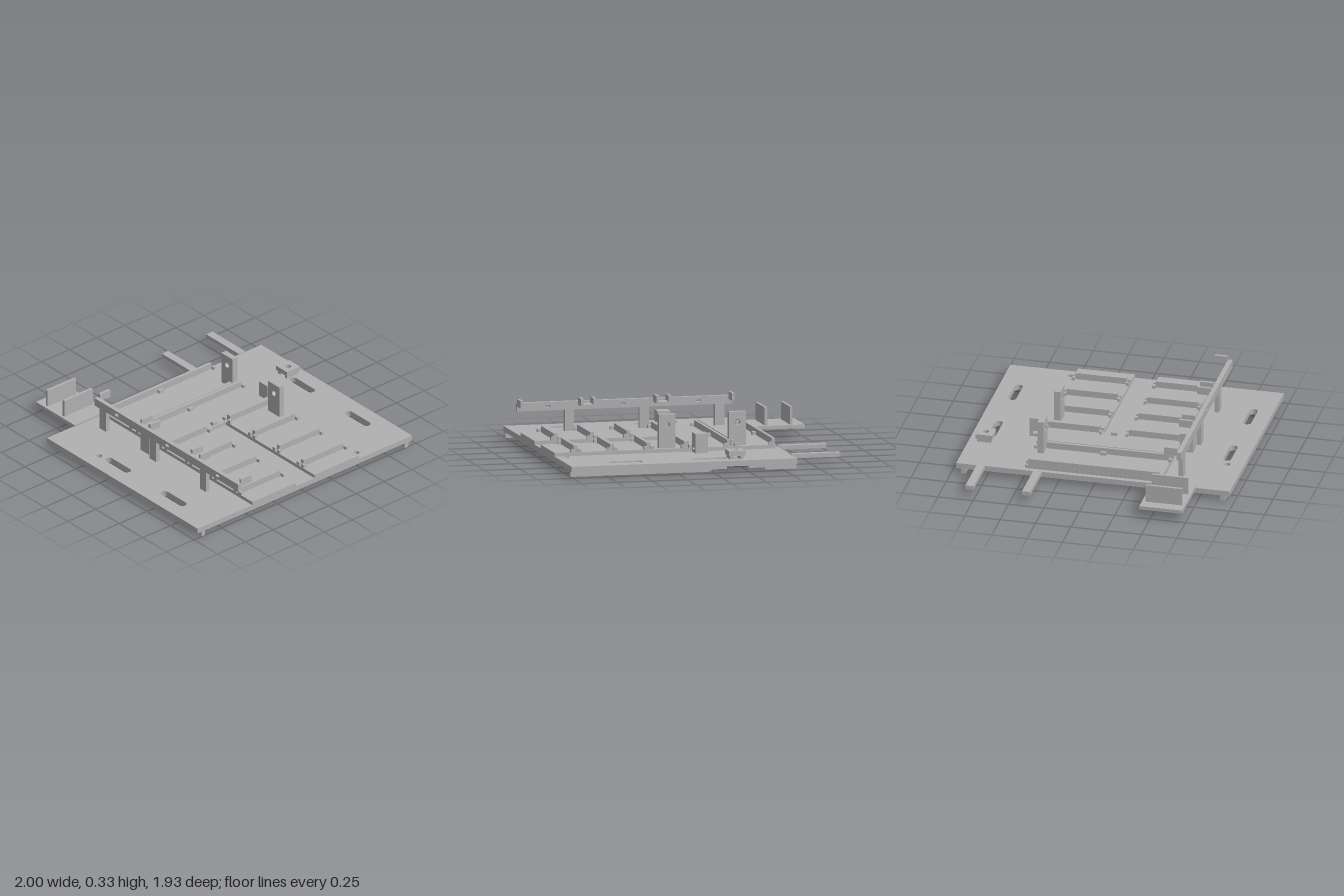
import * as THREE from 'three';

const grey = new THREE.MeshStandardMaterial({ color: 0xb0b0b0 });
grey.name = 'plain grey';

export function createModel() {
  const model = new THREE.Group();
  model.name = 'fixturePlate';

  const add = (name, geometry) => {
    const mesh = new THREE.Mesh(geometry, grey);
    mesh.name = name;
    model.add(mesh);
    return mesh;
  };
  // Box given by its extents
  const box = (name, x0, x1, y0, y1, z0, z1) => {
    const g = new THREE.BoxGeometry(x1 - x0, y1 - y0, z1 - z0);
    g.translate((x0 + x1) / 2, (y0 + y1) / 2, (z0 + z1) / 2);
    return add(name, g);
  };
  const rect = (a0, a1, b0, b1) => new THREE.Shape([[a0, b0], [a1, b0], [a1, b1], [a0, b1]]
    .map(([a, b]) => new THREE.Vector2(a, b)));
  const roundHole = (a, b, r) => new THREE.Path().absarc(a, b, r, 0, Math.PI * 2, true);
  // Rounded slot of total length len and height h
  const slotHole = (a, b, len, h) => {
    const r = h / 2, d = len / 2 - r;
    const p = new THREE.Path();
    p.absarc(a + d, b, r, -Math.PI / 2, Math.PI / 2, false);
    p.absarc(a - d, b, r, Math.PI / 2, Math.PI * 1.5, false);
    p.closePath();
    return p;
  };
  const extrude = (shape, depth) =>
    new THREE.ExtrudeGeometry(shape, { depth, bevelEnabled: false, curveSegments: 12 });
  // Shape drawn in (x, -z), laid flat with its underside at y
  const flat = (name, shape, y, depth) => {
    const g = extrude(shape, depth);
    g.rotateX(-Math.PI / 2);
    g.translate(0, y, 0);
    return add(name, g);
  };
  // Shape drawn in (x, y), facing the front
  const upright = (name, shape, z, depth) => {
    const g = extrude(shape, depth);
    g.translate(0, 0, z);
    return add(name, g);
  };

  // Base plate with slots and locating holes
  const base = rect(-0.6, 1, -0.967, 0.967);
  for (const z of [-0.83, 0.83]) {
    for (const x of [-0.008, 0.583]) base.holes.push(slotHole(x, -z, 0.245, 0.056));
    base.holes.push(roundHole(-0.185, z > 0 ? -0.85 : 0.855, 0.022));
  }
  base.holes.push(roundHole(0.925, 0.525, 0.022));
  flat('basePlate', base, 0.037, 0.038);

  // Stepped runners below the plate
  const runner = new THREE.Shape([
    [-0.6, 0], [-0.38, 0], [-0.38, 0.015], [-0.26, 0.015], [-0.26, 0.037], [-0.11, 0.037],
    [-0.11, 0.015], [0, 0.015], [0, 0], [1, 0], [1, 0.04], [-0.6, 0.04],
  ].map(([x, y]) => new THREE.Vector2(x, y)));
  for (const z of [-0.932, 0.9]) upright('runner', runner, z, 0.032);

  // Raised panel with an open channel on one side
  const panel = new THREE.Shape([
    [-0.565, -0.475], [1, -0.475], [1, -0.08], [0.06, -0.08], [0.06, 0.085],
    [1, 0.085], [1, 0.487], [-0.565, 0.487],
  ].map(([x, y]) => new THREE.Vector2(x, y)));
  flat('raisedPanel', panel, 0.07, 0.03);

  // Divider slats with small clips at their ends
  const clip = (x0, x1, zc) => box('slatClip', x0, x1, 0.095, 0.122, zc - 0.01, zc + 0.01);
  const slat = (x, half, z0, z1, left, right) => {
    box('dividerSlat', x - half, x + half, 0.095, 0.145, z0 + 0.02, z1 - 0.02);
    for (const z of [z0 + 0.01, z1 - 0.01]) {
      if (left) clip(x - half - 0.024, x - half + 0.004, z);
      if (right) clip(x + half - 0.004, x + half + 0.024, z);
    }
  };
  const fullSlats = [[-0.553, 0.011, 0, 1], [-0.265, 0.011, 1, 0],
    [-0.236, 0.011, 0, 1], [0.053, 0.008, 1, 0]];
  for (const [x, half, l, r] of fullSlats) {
    if (x < 0) {
      slat(x, half, -0.487, 0.48, l, r);
    } else {
      slat(0.062, 0.017, -0.487, -0.087, 1, 1);
      slat(0.062, 0.017, 0.08, 0.48, 1, 1);
    }
    const c = x + (r ? 1 : -1) * (half + 0.011);
    box('middleClip', c - 0.013, c + 0.013, 0.095, 0.122, -0.02, 0.02);
  }
  for (const x of [0.33, 0.59, 0.847]) {
    slat(x, 0.014, -0.487, -0.087, 1, 1);
    slat(x, 0.014, 0.08, 0.48, 1, 1);
  }

  // Front rail with slots, carried on three posts
  const rail = rect(-0.52, 1, 0.232, 0.29);
  for (const x of [-0.285, 0.25, 0.783]) rail.holes.push(slotHole(x, 0.261, 0.036, 0.018));
  upright('frontRail', rail, 0.573, 0.032);
  for (const [x0, x1] of [[-0.47, -0.4], [0.065, 0.133], [0.598, 0.663]])
    box('railPost', x0, x1, 0.07, 0.234, 0.573, 0.605);

  // Guide fingers reaching back from the rail
  for (const x of [-0.507, -0.06, 0.027, 0.473, 0.56, 0.99])
    box('guideFinger', x - 0.01, x + 0.01, 0.265, 0.318, 0.482, 0.575);
  for (const x of [-0.017, 0.517])
    box('guideFloor', x - 0.04, x + 0.04, 0.265, 0.275, 0.485, 0.575);

  // Slotted blocks at the front and back of the panel
  for (const s of [-1, 1]) {
    const block = rect(-0.045, 0.045, 0.07, 0.21);
    block.holes.push(slotHole(0, 0.106, 0.038, 0.02));
    const g = extrude(block, 0.09);
    g.rotateY(-Math.PI / 2);
    g.translate(0.027, 0, s * 0.533);
    add('slottedBlock', g);
  }

  // Tall pierced uprights
  for (const x of [-0.305, 0.192]) {
    const tall = rect(x - 0.059, x + 0.059, 0.095, 0.334);
    tall.holes.push(roundHole(x, 0.262, 0.02));
    upright('tallUpright', tall, -0.449, 0.043);
  }

  // Small pierced bridge at the back
  const bridge = rect(-0.245, -0.128, 0.797, 0.915);
  bridge.holes.push(roundHole(-0.185, 0.855, 0.022));
  flat('rearBridge', bridge, 0.1, 0.034);
  for (const x of [-0.222, -0.15])
    box('rearBridgeLeg', x - 0.012, x + 0.012, 0.07, 0.102, -0.905, -0.807);

  // Side arms
  for (const z of [-0.79, -0.39]) box('sideArm', -0.943, -0.598, 0.053, 0.082, z - 0.029, z + 0.029);

  // Side tray with two fins
  box('sideTray', -1, -0.59, 0.065, 0.09, 0.423, 0.727);
  for (const x of [-0.91, -0.732]) box('trayFin', x - 0.01, x + 0.01, 0.088, 0.214, 0.45, 0.705);

  return model;
}
